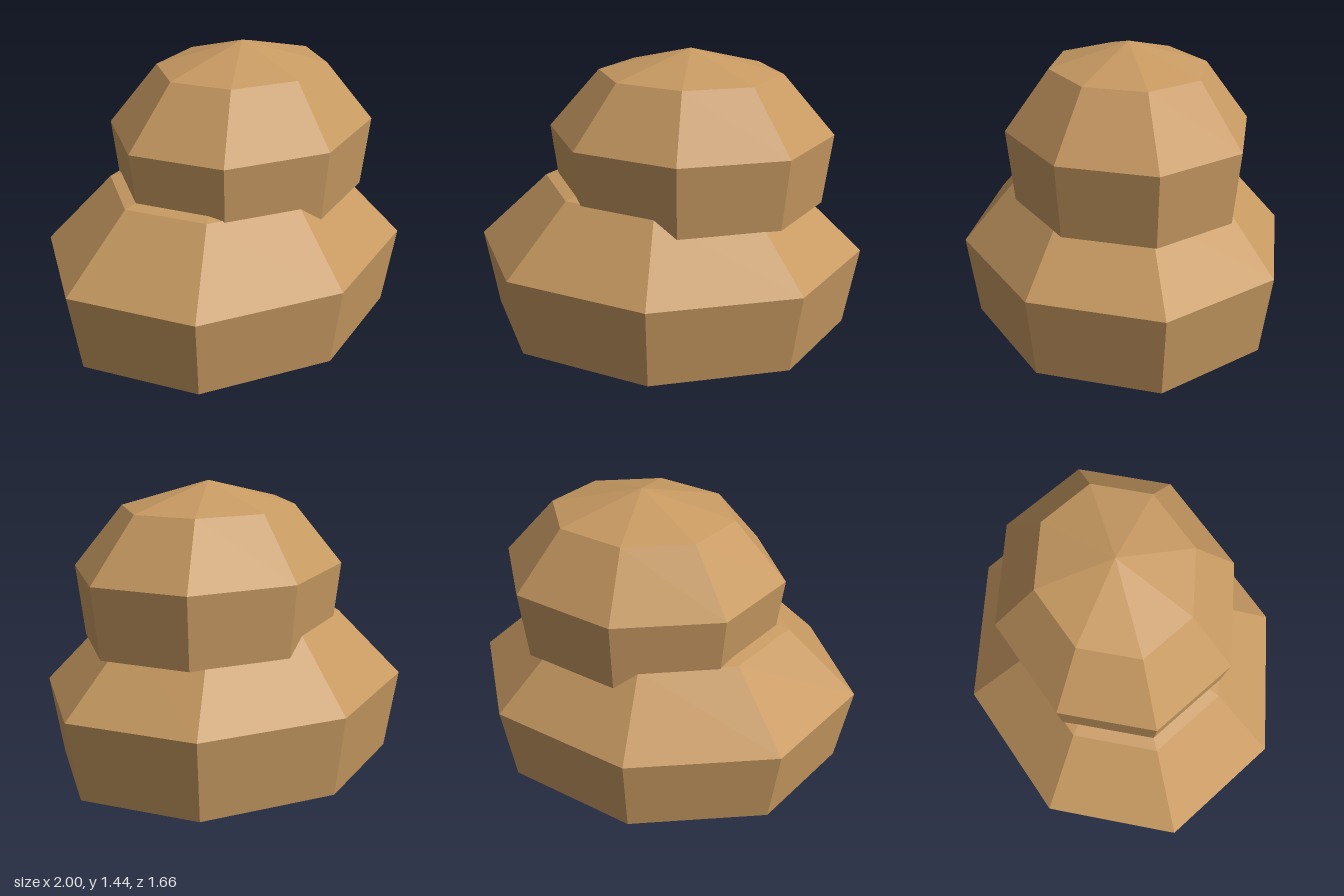
import * as THREE from 'three';

// Eight-sided faceted boulder, closed at the base and rising to a low point.
// rings: [radius, height] pairs from base to tip; depth: z radius / x radius
function makeStone(name, rings, depth, material) {
  const profile = rings.map(([r, y]) => new THREE.Vector2(r, y));
  const geometry = new THREE.LatheGeometry(profile, 8);
  geometry.scale(1, 1, depth);
  geometry.computeVertexNormals();
  const mesh = new THREE.Mesh(geometry, material);
  mesh.name = name;
  return mesh;
}

export function createModel() {
  const group = new THREE.Group();
  group.name = 'stackedStones';

  const sandstone = new THREE.MeshStandardMaterial({ color: 0xc89a62 });
  sandstone.name = 'sandstone';
  sandstone.flatShading = true;

  // Wide lower stone
  const lower = makeStone('lowerStone',
    [[0, 0], [0.93, 0], [1, 0.41], [0.64, 0.755], [0, 0.89]], 0.83, sandstone);

  // Smaller upper stone, sunk into the lower one and shifted to the side
  const upper = makeStone('upperStone',
    [[0, 0], [0.675, 0], [0.72, 0.36], [0.46, 0.66], [0, 0.78]], 0.846, sandstone);
  upper.position.set(0.113, 0.665, 0);

  group.add(lower, upper);
  return group;
}
